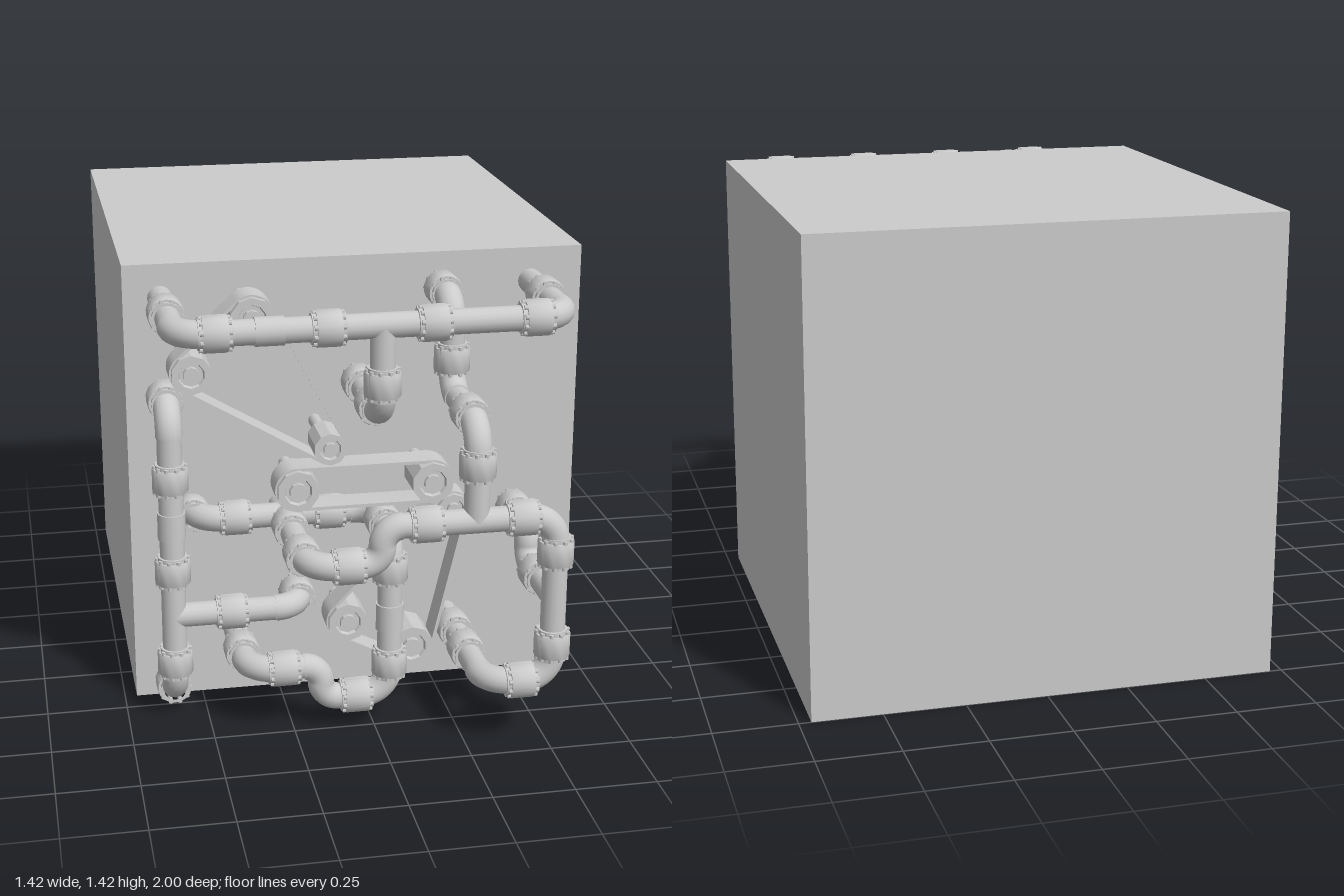
import * as THREE from 'three';
import { toCreasedNormals, mergeGeometries } from 'three/addons/utils/BufferGeometryUtils.js';

const WALL = 0.425, R = 0.038;
const mat = new THREE.MeshStandardMaterial({ color: 0xcccccc });
const V = (p) => new THREE.Vector3(...p);
const UP = new THREE.Vector3(0, 1, 0);

function add(parent, name, geometry) {
  const m = new THREE.Mesh(geometry, mat);
  m.name = name;
  parent.add(m);
  return m;
}

// Straight cylinder between two points
function rod(parent, name, a, b, r, sides = 16) {
  const d = b.clone().sub(a), len = d.length();
  if (len < 0.003) return;
  const m = add(parent, name, new THREE.CylinderGeometry(r, r, len, sides));
  m.position.copy(a).add(b).multiplyScalar(0.5);
  m.quaternion.setFromUnitVectors(UP, d.normalize());
}

// Pipe run: straight lengths joined by slightly fatter rounded elbows
function pipe(parent, name, points) {
  const g = new THREE.Group();
  g.name = name;
  parent.add(g);
  const p = points.map(V), n = p.length;
  let start = p[0];
  for (let i = 1; i < n - 1; i++) {
    const din = p[i].clone().sub(p[i - 1]), dout = p[i + 1].clone().sub(p[i]);
    const r = Math.min(0.085, din.length() * (i > 1 ? 0.5 : 0.95), dout.length() * (i < n - 2 ? 0.5 : 0.95));
    din.normalize(); dout.normalize();
    const a = p[i].clone().addScaledVector(din, -r), b = p[i].clone().addScaledVector(dout, r);
    const bend = new THREE.CubicBezierCurve3(a, a.clone().addScaledVector(din, r * 0.55),
      b.clone().addScaledVector(dout, -r * 0.55), b);
    rod(g, 'straightPipe', start, a, R);
    add(g, 'elbow', new THREE.TubeGeometry(bend, 10, R + 0.003, 16, false));
    start = b;
  }
  rod(g, 'straightPipe', start, p[n - 1], R);
}

// Flanged coupling with a ring of bolts at each end
function couplingGeometry() {
  const half = [[0.036, 0.05], [0.046, 0.05], [0.046, 0.037], [0.053, 0.037], [0.055, 0.033]];
  const profile = [...half.map(([r, y]) => [r, -y]), ...half.slice().reverse()];
  const parts = [toCreasedNormals(new THREE.LatheGeometry(profile.map((q) => new THREE.Vector2(...q)), 18), 0.6)];
  for (let i = 0; i < 10; i++) {
    const a = (i / 10) * Math.PI * 2;
    const bolt = new THREE.CylinderGeometry(0.0075, 0.0075, 0.092, 6).toNonIndexed();
    bolt.translate(Math.cos(a) * 0.047, 0, Math.sin(a) * 0.047);
    parts.push(bolt);
  }
  return mergeGeometries(parts);
}

function orient(mesh, [x, y, z], axis) {
  mesh.position.set(x, y, z);
  if (axis === 'x') mesh.rotation.z = Math.PI / 2;
  if (axis === 'z') mesh.rotation.x = Math.PI / 2;
}

// Convex outline around all pulley circles
function hull(pulleys, grow) {
  const pts = [];
  for (const [x, y, r] of pulleys)
    for (let i = 0; i < 30; i++) {
      const a = (i / 30) * Math.PI * 2;
      pts.push(new THREE.Vector2(x + Math.cos(a) * (r + grow), y + Math.sin(a) * (r + grow)));
    }
  pts.sort((a, b) => a.x - b.x || a.y - b.y);
  const chain = (list) => {
    const out = [];
    for (const q of list) {
      while (out.length > 1) {
        const a = out[out.length - 2], b = out[out.length - 1];
        if ((b.x - a.x) * (q.y - a.y) - (b.y - a.y) * (q.x - a.x) > 0) break;
        out.pop();
      }
      out.push(q);
    }
    return out.slice(0, -1);
  };
  return [...chain(pts), ...chain(pts.slice().reverse())];
}

// Belt loop with its pulleys and axles
function beltDrive(parent, name, pulleys, z0, z1) {
  const g = new THREE.Group();
  g.name = name;
  parent.add(g);
  const shape = new THREE.Shape(hull(pulleys, 0.004));
  shape.holes.push(new THREE.Path(hull(pulleys, -0.006)));
  const belt = new THREE.ExtrudeGeometry(shape, { depth: z1 - z0, bevelEnabled: false });
  add(g, 'belt', toCreasedNormals(belt, 0.6)).position.z = z0;
  for (const [x, y, r] of pulleys) {
    const h = (z1 - z0) / 2 + 0.018;
    const profile = [[0, -h], [r, -h], [r, h], [r * 0.66, h], [r * 0.6, h - 0.012],
      [r * 0.42, h - 0.012], [r * 0.42, h + 0.004], [0, h + 0.004]];
    const geo = new THREE.LatheGeometry(profile.map((q) => new THREE.Vector2(...q)), 10);
    orient(add(g, 'pulley', toCreasedNormals(geo, 0.3)), [x, y, (z0 + z1) / 2], 'z');
    rod(g, 'axle', new THREE.Vector3(x, y, WALL - 0.01), new THREE.Vector3(x, y, z0), 0.02, 10);
  }
}

export function createModel() {
  const model = new THREE.Group();
  model.name = 'pipedBlock';

  // Main block
  add(model, 'block', new THREE.BoxGeometry(1.425, 1.425, 1.425)).position.set(0, 0.7125, -0.2875);

  // Pipe runs
  const W = WALL - 0.01;
  pipe(model, 'topPipe', [[-0.6, 1.32, W], [-0.6, 1.32, 0.83], [0.55, 1.32, 0.83], [0.55, 1.32, W]]);
  pipe(model, 'topBranchPipe', [[0, 1.32, 0.83], [0, 1.04, 0.83], [0, 1.04, W]]);
  pipe(model, 'dropPipe', [[0.26, 1.32, W], [0.26, 1.32, 0.61], [0.26, 1.04, 0.61], [0.26, 1.04, 0.945], [0.26, 0.74, 0.945]]);
  pipe(model, 'frontPipe', [[-0.24, 0.63, W], [-0.24, 0.63, 0.945], [-0.02, 0.63, 0.945], [-0.02, 0.745, 0.945],
    [0.505, 0.745, 0.945], [0.505, 0.215, 0.945], [0.3, 0.215, 0.945], [0.3, 0.215, W]]);
  pipe(model, 'frontBranchPipe', [[0.505, 0.48, 0.945], [0.505, 0.48, 0.65], [0.505, 0.59, 0.65], [0.505, 0.59, W]]);
  pipe(model, 'sidePipe', [[-0.6, 1.02, W], [-0.6, 1.02, 0.59], [-0.6, 0.08, 0.59], [-0.6, 0.08, W]]);
  pipe(model, 'sideBranchPipe', [[-0.6, 0.35, 0.59], [-0.2, 0.35, 0.59], [-0.2, 0.35, W]]);
  pipe(model, 'windingPipe', [[-0.52, 0.63, W], [-0.52, 0.63, 0.51], [0.05, 0.63, 0.51], [0.05, 0.63, 0.73],
    [0.05, 0.1, 0.73], [-0.165, 0.1, 0.73], [-0.165, 0.21, 0.73], [-0.39, 0.21, 0.73], [-0.39, 0.21, W]]);

  // Couplings grouped by the axis they sit on
  const couplings = {
    x: [[-0.485, 1.32, 0.83], [-0.16, 1.32, 0.83], [0.15, 1.32, 0.83], [0.455, 1.32, 0.83],
      [-0.12, 0.63, 0.945], [0.11, 0.745, 0.945], [0.4, 0.745, 0.945], [0.41, 0.215, 0.945],
      [-0.42, 0.35, 0.59], [-0.395, 0.63, 0.51], [-0.1, 0.63, 0.51], [-0.055, 0.1, 0.73], [-0.28, 0.21, 0.73]],
    y: [[0, 1.145, 0.83], [0.26, 1.14, 0.61], [0.26, 0.92, 0.945], [0.505, 0.63, 0.945], [0.505, 0.33, 0.945],
      [-0.6, 0.8, 0.59], [-0.6, 0.5, 0.59], [-0.6, 0.195, 0.59], [0.05, 0.52, 0.73], [0.05, 0.205, 0.73]],
    z: [[-0.6, 1.32, 0.6], [0.55, 1.32, 0.6], [0, 1.04, 0.71], [0, 1.04, 0.5], [0.26, 1.04, 0.84], [0.26, 1.32, 0.49],
      [-0.24, 0.63, 0.84], [-0.24, 0.63, 0.62], [0.3, 0.215, 0.71], [0.3, 0.215, 0.55], [-0.6, 1.02, 0.49],
      [-0.6, 0.08, 0.51], [-0.2, 0.35, 0.5], [0.505, 0.48, 0.77], [0.505, 0.59, 0.5], [0.05, 0.63, 0.62],
      [-0.39, 0.21, 0.58], [-0.52, 0.63, 0.44]],
  };
  const couplingGeo = couplingGeometry();
  for (const axis of Object.keys(couplings))
    for (const p of couplings[axis]) orient(add(model, 'coupling', couplingGeo), p, axis);

  // Slightly thicker repair sleeves
  const sleeves = [[[-0.33, 1.32, 0.83], 'x'], [[-0.6, 0.65, 0.59], 'y'], [[0.05, 0.36, 0.73], 'y']];
  for (const [p, axis] of sleeves)
    orient(add(model, 'sleeve', new THREE.CylinderGeometry(0.043, 0.043, 0.085, 16)), p, axis);

  // Belt drives: pulley x, y, radius
  beltDrive(model, 'upperBeltDrive', [[-0.36, 1.32, 0.065], [-0.54, 1.16, 0.06], [-0.13, 0.905, 0.05]], 0.6, 0.69);
  beltDrive(model, 'middleBeltDrive', [[-0.225, 0.77, 0.065], [0.19, 0.77, 0.065]], 0.585, 0.675);
  beltDrive(model, 'lowerBeltDrive', [[0.265, 0.665, 0.05], [-0.065, 0.31, 0.062], [0.14, 0.21, 0.068]], 0.55, 0.64);

  return model;
}
